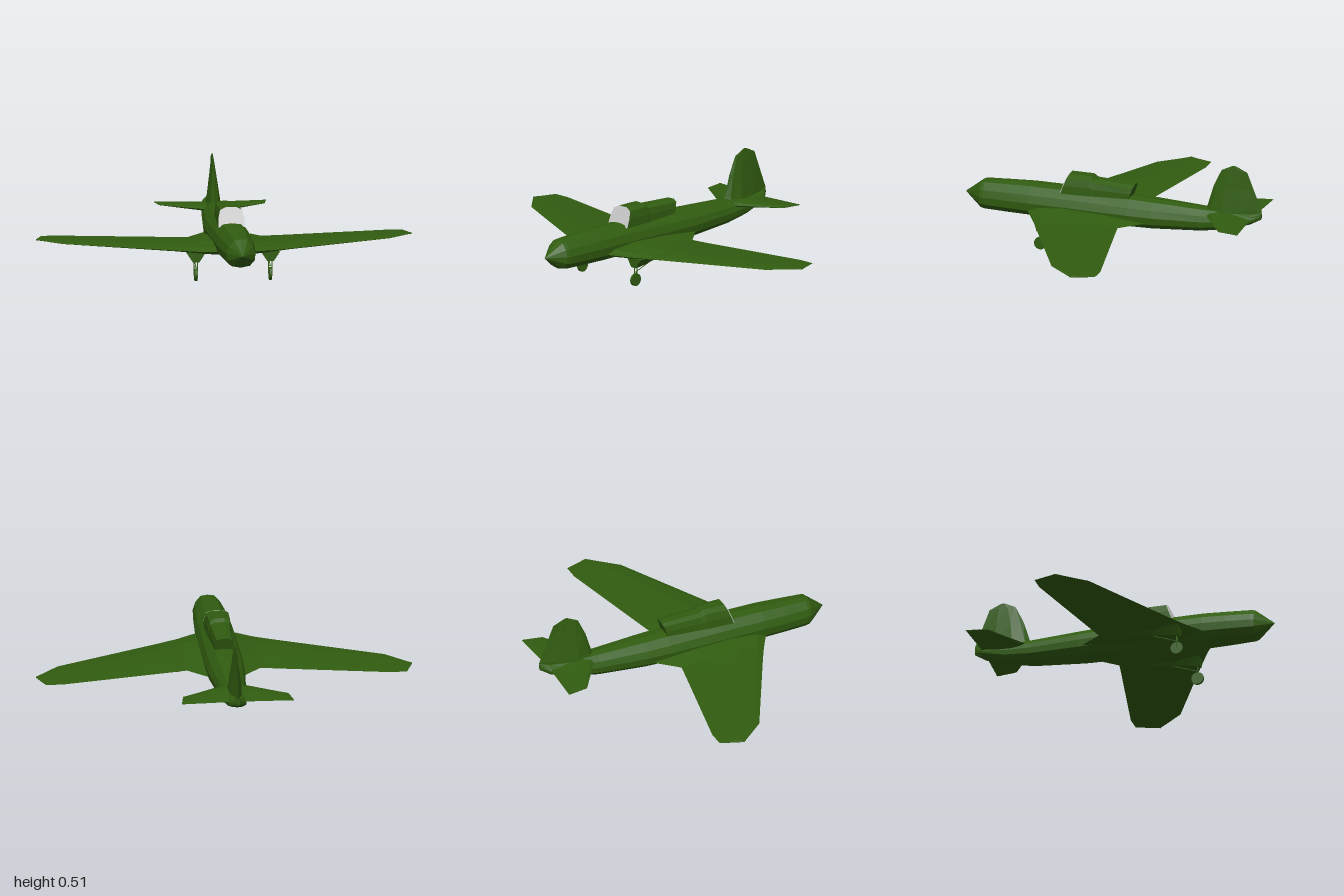
import * as THREE from 'three';

const green = new THREE.MeshStandardMaterial({ color: 0x315c10, flatShading: true });
const grey = new THREE.MeshStandardMaterial({ color: 0xcccccc, flatShading: true });

// Skin a row of closed rings ([x, y, z] points) and cap both ends, facing outwards
function loft(name, rings, material = green) {
  const tris = [];
  const n = rings[0].length;
  for (let i = 0; i < rings.length - 1; i++) {
    for (let j = 0; j < n; j++) {
      const k = (j + 1) % n;
      const [a, b, c, d] = [rings[i][j], rings[i][k], rings[i + 1][k], rings[i + 1][j]];
      tris.push([a, b, c], [a, c, d]);
    }
  }
  const last = rings[rings.length - 1];
  for (let j = 1; j < n - 1; j++) {
    tris.push([rings[0][0], rings[0][j + 1], rings[0][j]], [last[0], last[j], last[j + 1]]);
  }
  // A negative enclosed volume means the skin is inside out
  const volume = tris.reduce((sum, [a, b, c]) => sum + new THREE.Vector3(...a)
    .dot(new THREE.Vector3(...b).cross(new THREE.Vector3(...c))), 0);
  if (volume < 0) tris.forEach((t) => t.reverse());
  const geometry = new THREE.BufferGeometry();
  geometry.setAttribute('position', new THREE.Float32BufferAttribute(tris.flat(2), 3));
  geometry.computeVertexNormals();
  const mesh = new THREE.Mesh(geometry, material);
  mesh.name = name;
  return mesh;
}

// Rounded body section: z, half width, bottom, top
const halfSection = [[0, 1], [0.48, 0.93], [0.85, 0.48], [1, 0], [0.95, -0.5], [0.62, -0.88], [0, -1]];
const section = [...halfSection, ...halfSection.slice(1, -1).reverse().map(([x, y]) => [-x, y])];
const bodyRing = ([z, w, y0, y1]) =>
  section.map(([x, y]) => [x * w, (y0 + y1) / 2 + y * (y1 - y0) / 2, z]);

// Thin foil section: chord fraction and thickness side
const foil = [[0, 0], [0.08, 0.6], [0.3, 1], [0.65, 0.7], [1, 0], [0.65, -0.7], [0.3, -1], [0.08, -0.6]];
const foilRing = (front, back, place) => foil.map(([t, s]) => place(front + (back - front) * t, s));

// Canopy section with sides leaning in; lean shifts z from base to top
const canopyShape = [[-1, 0], [-0.98, 0.45], [-0.84, 0.85], [-0.4, 1], [0.4, 1], [0.84, 0.85], [0.98, 0.45], [1, 0]];
const canopyRing = ([zBase, zTop, w, y1], shift = 0) =>
  canopyShape.map(([x, t]) => [x * w, 0.275 + (y1 - 0.275) * t, zBase + (zTop - zBase) * t + shift]);

function bar(name, a, b, radius) {
  const from = new THREE.Vector3(...a);
  const dir = new THREE.Vector3(...b).sub(from);
  const mesh = new THREE.Mesh(new THREE.CylinderGeometry(radius, radius, dir.length(), 6), green);
  mesh.position.copy(from).addScaledVector(dir, 0.5);
  mesh.quaternion.setFromUnitVectors(new THREE.Vector3(0, 1, 0), dir.normalize());
  mesh.name = name;
  return mesh;
}

function createLandingGear(side) {
  const gear = new THREE.Group();
  gear.name = side > 0 ? 'leftLandingGear' : 'rightLandingGear';
  const x = side * 0.198;
  // Tapered fairing under the wing
  const fairing = [[0.36, 0.05, 0.102], [0.3, 0.048, 0.108], [0.2, 0.035, 0.124], [0.08, 0.015, 0.142]];
  gear.add(loft('gearFairing', fairing.map(([z, w, y]) =>
    [[x - w, 0.152, z], [x - w * 0.35, y, z], [x + w * 0.35, y, z], [x + w, 0.152, z]])));
  // Wheel between two fork legs
  const wheel = new THREE.Mesh(new THREE.CylinderGeometry(0.034, 0.034, 0.014, 14), green);
  wheel.rotation.z = Math.PI / 2;
  wheel.position.set(x, 0.034, 0.345);
  wheel.name = 'wheel';
  gear.add(wheel);
  for (const s of [-1, 1]) {
    const forkX = x + s * 0.0095;
    gear.add(bar('forkLeg', [forkX, 0.034, 0.345], [forkX, 0.11, 0.345], 0.0025));
  }
  gear.add(bar('axle', [x - 0.011, 0.034, 0.345], [x + 0.011, 0.034, 0.345], 0.004));
  gear.add(bar('forkBridge', [x - 0.0095, 0.075, 0.345], [x + 0.0095, 0.075, 0.345], 0.003));
  gear.add(bar('dragStrut', [x, 0.075, 0.345], [x, 0.13, 0.19], 0.0025));
  return gear;
}

export function createModel() {
  const model = new THREE.Group();
  model.name = 'airplane';

  // Body and spinner
  model.add(loft('fuselage', [
    [0.73, 0.075, 0.133, 0.282], [0.71, 0.08, 0.128, 0.286], [0.58, 0.092, 0.126, 0.291],
    [0.45, 0.1, 0.125, 0.296], [0.2, 0.103, 0.125, 0.294], [-0.1, 0.103, 0.125, 0.285],
    [-0.23, 0.098, 0.126, 0.28], [-0.5, 0.074, 0.141, 0.267], [-0.65, 0.06, 0.165, 0.262],
    [-0.77, 0.048, 0.205, 0.262], [-0.822, 0.006, 0.232, 0.272],
  ].map(bodyRing)));
  model.add(loft('spinner', [[0.73, 0.075, 0.133, 0.282], [0.825, 0.002, 0.204, 0.208]].map(bodyRing)));

  // Stepped canopy with a raked windscreen
  const front = [0.278, 0.24, 0.07, 0.376];
  model.add(loft('frontCanopy', [front, [0.12, 0.12, 0.064, 0.376], [0.1, 0.1, 0.06, 0.36]]
    .map((r) => canopyRing(r))));
  model.add(loft('rearCanopy', [[0.1, 0.1, 0.06, 0.361], [-0.095, -0.12, 0.05, 0.35]]
    .map((r) => canopyRing(r))));
  model.add(loft('windscreen', [canopyRing(front, 0.004), canopyRing(front, 0.0005)], grey));

  // Wings, tailplanes and landing gear on both sides
  for (const side of [1, -1]) {
    const label = side > 0 ? 'left' : 'right';
    // x, leading z, trailing z, middle height, half thickness
    const wing = [
      [0, 0.46, -0.24, 0.17, 0.036], [0.1, 0.45, -0.2, 0.17, 0.035], [0.195, 0.395, -0.085, 0.165, 0.024],
      [0.3, 0.34, -0.105, 0.164, 0.016], [0.87, 0.055, -0.218, 0.163, 0.007],
      [0.96, -0.045, -0.217, 0.163, 0.005], [1, -0.09, -0.1, 0.163, 0.003],
    ];
    const tail = [
      [0, -0.5, -0.77, 0.238, 0.022], [0.07, -0.54, -0.775, 0.238, 0.018],
      [0.28, -0.675, -0.787, 0.24, 0.003], [0.297, -0.775, -0.79, 0.24, 0.002],
    ];
    const rings = (rows) => rows.map(([x, a, b, y, h]) => foilRing(a, b, (z, s) => [side * x, y + s * h, z]));
    model.add(loft(label + 'Wing', rings(wing)));
    model.add(loft(label + 'Tailplane', rings(tail)));
    model.add(createLandingGear(side));
  }

  // Upright fin: y, leading z, trailing z, half thickness
  model.add(loft('tailFin', [
    [0.225, -0.5, -0.81, 0.044], [0.275, -0.52, -0.825, 0.036], [0.39, -0.555, -0.78, 0.019],
    [0.485, -0.6, -0.743, 0.006], [0.514, -0.66, -0.68, 0.002],
  ].map(([y, a, b, h]) => foilRing(a, b, (z, s) => [s * h, y, z]))));

  return model;
}
